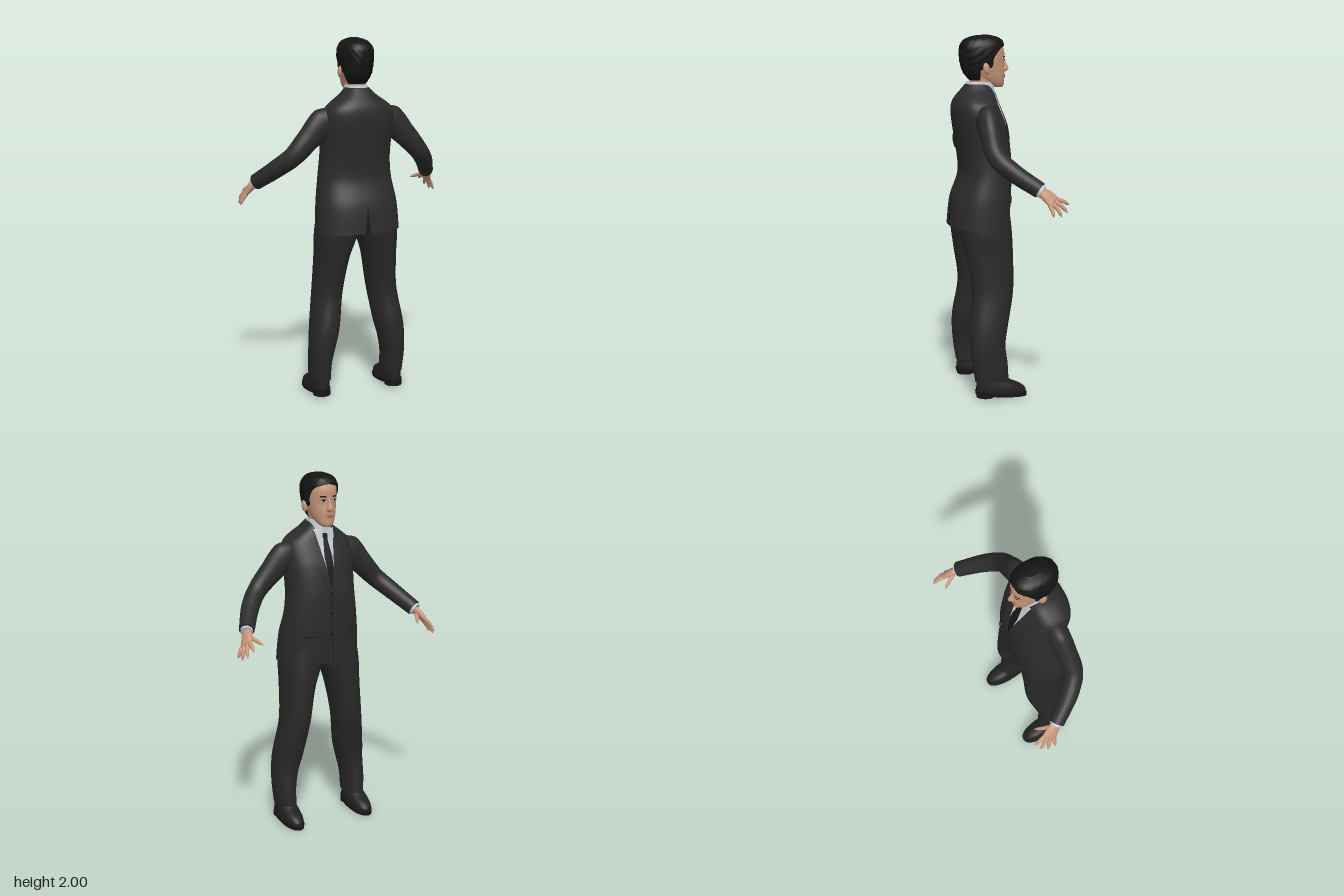
import * as THREE from 'three';

const mat = (name, color) => {
  const m = new THREE.MeshStandardMaterial({ color, side: THREE.DoubleSide });
  m.name = name;
  return m;
};
const V = (p, s = 1) => new THREE.Vector3(p[0] * s, p[1], p[2]);

// Skin a stack of rings; capped ends get their own vertices so edges stay sharp
function skin(rings, closed, capped) {
  const n = rings[0].length, pos = [], idx = [];
  rings.forEach(r => r.forEach(p => pos.push(p.x, p.y, p.z)));
  for (let i = 0; i < rings.length - 1; i++) {
    for (let j = 0; j < (closed ? n : n - 1); j++) {
      const k = (j + 1) % n, a = i * n, b = a + n;
      idx.push(a + j, a + k, b + k, a + j, b + k, b + j);
    }
  }
  if (capped) {
    [rings[0], rings[rings.length - 1]].forEach((r, end) => {
      const c = new THREE.Vector3(), o = pos.length / 3;
      r.forEach(p => { c.add(p); pos.push(p.x, p.y, p.z); });
      c.divideScalar(n);
      pos.push(c.x, c.y, c.z);
      for (let j = 0; j < n; j++) {
        const k = (j + 1) % n;
        if (end) idx.push(o + j, o + k, o + n); else idx.push(o + k, o + j, o + n);
      }
    });
  }
  const g = new THREE.BufferGeometry();
  g.setAttribute('position', new THREE.Float32BufferAttribute(pos, 3));
  g.setIndex(idx);
  g.computeVertexNormals();
  return g;
}

// Smoothly interpolate a row [y, centreX, halfWidth, zFront, zBack, halfAngle] at height y
function rowAt(rows, y) {
  let i = 0;
  while (i < rows.length - 2 && y > rows[i + 1][0]) i++;
  const a = rows[i], b = rows[i + 1], p = rows[Math.max(i - 1, 0)], q = rows[Math.min(i + 2, rows.length - 1)];
  const h = b[0] - a[0], t = (y - a[0]) / h, t2 = t * t, t3 = t2 * t;
  return a.map((v, k) => {
    const ma = (b[k] - p[k]) / (b[0] - p[0]), mb = (q[k] - v) / (q[0] - a[0]);
    return (2 * t3 - 3 * t2 + 1) * v + (t3 - 2 * t2 + t) * h * ma + (3 * t2 - 2 * t3) * b[k] + (t3 - t2) * h * mb;
  });
}

// Vertical loft of superellipse rings
function loft(rows, { e = 2.2, steps = 44, seg = 56, partial = false, s = 1 } = {}) {
  const rings = [], y0 = rows[0][0], y1 = rows[rows.length - 1][0];
  for (let i = 0; i <= steps; i++) {
    const r = rowAt(rows, y0 + (y1 - y0) * i / steps);
    const A = partial ? Math.min(r[5], Math.PI) : Math.PI, ring = [];
    for (let j = 0; j < (partial ? seg + 1 : seg); j++) {
      const th = -A + 2 * A * j / seg, c = Math.cos(th), n = Math.sin(th);
      // tuck the open edge in towards the head
      const k = partial && A < 3.1 && (j === 0 || j === seg) ? 0.88 : 1;
      ring.push(new THREE.Vector3(
        r[1] * s + k * r[2] * Math.sign(n) * Math.abs(n) ** (2 / e), r[0],
        (r[3] + r[4]) / 2 + k * (r[4] - r[3]) / 2 * Math.sign(c) * Math.abs(c) ** (2 / e)));
    }
    rings.push(ring);
  }
  return skin(rings, !partial, true);
}

// Sweep an ellipse along a path; sizes are [along axis, across axis]
function sweep(points, sizes, s = 1, axis = [0, 1, 0], steps = 24, seg = 20) {
  const curve = new THREE.CatmullRomCurve3(points.map(p => V(p, s))), rings = [];
  for (let i = 0; i <= steps; i++) {
    const t = i / steps, f = t * (sizes.length - 1), k = Math.min(Math.floor(f), sizes.length - 2);
    const a = THREE.MathUtils.lerp(sizes[k][0], sizes[k + 1][0], f - k);
    const b = THREE.MathUtils.lerp(sizes[k][1], sizes[k + 1][1], f - k);
    const c = curve.getPoint(t), T = curve.getTangent(t), N = V(axis, s);
    N.addScaledVector(T, -N.dot(T)).normalize();
    const B = T.clone().cross(N);
    rings.push(Array.from({ length: seg }, (_, j) => {
      const th = j / seg * Math.PI * 2;
      return c.clone().addScaledVector(N, a * Math.cos(th)).addScaledVector(B, b * Math.sin(th));
    }));
  }
  return skin(rings, true, true);
}

// Thin patch [y, x0, x1] laid over a loft; side -1 is the face side, +1 the back
function patch(rows, shape, offset, side = -1, e = 2.2) {
  const rings = [], cols = 8;
  for (let i = 0; i < shape.length - 1; i++) {
    for (let u = i ? 1 : 0; u <= 6; u++) {
      const [y, x0, x1] = shape[i].map((v, k) => THREE.MathUtils.lerp(v, shape[i + 1][k], u / 6));
      const r = rowAt(rows, y), ring = [];
      for (let j = 0; j <= cols; j++) {
        const t = side < 0 ? 1 - j / cols : j / cols, lo = Math.min(x0, x1), hi = Math.max(x0, x1);
        const x = lo + (hi - lo) * t, q = Math.max(0, 1 - Math.abs((x - r[1]) / r[2]) ** e) ** (1 / e);
        ring.push(new THREE.Vector3(x, y, (r[3] + r[4]) / 2 + side * ((r[4] - r[3]) / 2 * q + offset)));
      }
      rings.push(ring);
    }
  }
  return skin(rings, false, false);
}
const oval = (cx, cy, rx, ry) => [-1, -0.85, -0.5, 0, 0.5, 0.85, 1].map(t => {
  const w = rx * Math.sqrt(1 - t * t);
  return [cy + t * ry, cx - w, cx + w];
});

const JACKET = [
  [0.95, 0, 0.238, -0.072, 0.255], [1.1, 0, 0.228, -0.082, 0.238], [1.24, 0, 0.208, -0.088, 0.192],
  [1.36, 0, 0.197, -0.085, 0.2], [1.5, 0, 0.2, -0.06, 0.222], [1.58, 0, 0.2, -0.03, 0.23],
  [1.63, 0, 0.185, -0.01, 0.225], [1.665, 0, 0.145, 0, 0.21], [1.7, 0, 0.095, 0.008, 0.185], [1.735, 0, 0.062, 0.02, 0.157]];
const LEG = [
  [0.1, 0.22, 0.055, -0.025, 0.165], [0.2, 0.222, 0.06, -0.018, 0.18], [0.3, 0.211, 0.071, -0.008, 0.19],
  [0.4, 0.195, 0.08, -0.025, 0.19], [0.6, 0.165, 0.08, -0.065, 0.165], [0.8, 0.142, 0.092, -0.07, 0.195],
  [0.93, 0.12, 0.115, -0.068, 0.215], [1.02, 0.112, 0.112, -0.06, 0.215]];
const SHOE = [
  [0.018, 0.222, 0.057, -0.125, 0.16], [0.04, 0.222, 0.058, -0.124, 0.16], [0.065, 0.222, 0.054, -0.095, 0.158],
  [0.09, 0.221, 0.049, -0.03, 0.155], [0.13, 0.22, 0.044, 0.01, 0.15]];
const SOLE = [[0, 0.222, 0.06, -0.13, 0.165], [0.02, 0.222, 0.062, -0.132, 0.166]];
const HEAD = [
  [1.715, 0, 0.022, -0.05, -0.012], [1.728, 0, 0.04, -0.058, 0.03], [1.76, 0, 0.058, -0.06, 0.09],
  [1.8, 0, 0.07, -0.062, 0.14], [1.84, 0, 0.078, -0.058, 0.165], [1.88, 0, 0.082, -0.06, 0.175],
  [1.92, 0, 0.082, -0.058, 0.17], [1.96, 0, 0.068, -0.038, 0.145], [1.985, 0, 0.03, 0, 0.1]];
const HAIR = [
  [1.755, 0, 0.055, 0, 0.135, 1.3], [1.79, 0, 0.075, -0.03, 0.165, 1.35], [1.815, 0, 0.083, -0.05, 0.178, 1.4],
  [1.825, 0, 0.085, -0.055, 0.181, 1.85], [1.87, 0, 0.092, -0.06, 0.19, 1.95], [1.91, 0, 0.094, -0.064, 0.192, 2.15],
  [1.935, 0, 0.092, -0.062, 0.19, 2.5], [1.95, 0, 0.088, -0.058, 0.185, 3.14], [1.975, 0, 0.073, -0.045, 0.165, 3.14],
  [1.99, 0, 0.052, -0.02, 0.135, 3.14], [2, 0, 0.022, 0.02, 0.09, 3.14]];
const NOSE = [
  [1.798, 0, 0.01, -0.066, -0.03], [1.808, 0, 0.017, -0.082, -0.03], [1.818, 0, 0.015, -0.087, -0.03],
  [1.85, 0, 0.009, -0.073, -0.03], [1.878, 0, 0.007, -0.061, -0.03]];
const FINGERS = [
  [[0.54, 1.168, -0.19], [0.546, 1.155, -0.228], [0.548, 1.135, -0.258]],
  [[0.549, 1.16, -0.176], [0.566, 1.133, -0.212], [0.577, 1.1, -0.24]],
  [[0.557, 1.15, -0.163], [0.578, 1.118, -0.187], [0.592, 1.08, -0.203]],
  [[0.565, 1.14, -0.147], [0.583, 1.112, -0.155], [0.596, 1.082, -0.158]],
  [[0.522, 1.19, -0.13], [0.5, 1.172, -0.178], [0.476, 1.155, -0.22]]];

export function createModel() {
  const model = new THREE.Group();
  const suit = mat('suit cloth', 0x2b2b2c), trouser = mat('trouser cloth', 0x282829), black = mat('black trim', 0x171718);
  const leather = mat('shoe leather', 0x202020), hairMat = mat('hair', 0x141414), skinMat = mat('skin', 0xc6967a);
  const shirt = mat('shirt', 0xc4c8d0), lip = mat('lips', 0xa26b5c), white = mat('eye white', 0xd8d4cf);
  const add = (name, geo, m) => {
    const mesh = new THREE.Mesh(geo, m);
    mesh.name = name;
    model.add(mesh);
    return mesh;
  };
  const onJacket = (name, shape, m, off, side = -1) => add(name, patch(JACKET, shape, off, side, 2.4), m);
  const onFace = (name, shape, m, off) => add(name, patch(HEAD, shape, off), m);
  const mirror = (shape, s) => shape.map(([y, a, b]) => [y, a * s, b * s]);

  // Jacket with shirt front, tie, buttons and rear vent
  add('jacket', loft(JACKET, { e: 2.4, steps: 60, seg: 72 }), suit);
  onJacket('shirtFront', [[1.38, 0, 0], [1.55, -0.035, 0.035], [1.69, -0.056, 0.056]], shirt, 0.004);
  onJacket('tie', [[1.38, -0.012, 0.012], [1.55, -0.024, 0.024], [1.645, -0.012, 0.012], [1.675, -0.02, 0.02]], black, 0.008);
  onJacket('frontSeam', [[0.955, -0.022, -0.018], [1.2, -0.002, 0.002], [1.38, -0.002, 0.002]], black, 0.003);
  [1.12, 1.24, 1.35].forEach(y => onJacket('button', oval(0, y, 0.009, 0.009), black, 0.007));
  onJacket('rearVent', [[0.952, -0.016, 0.016], [1.1, -0.001, 0.001]], black, 0.003, 1);

  // Neck and shirt collar
  add('neck', loft([[1.68, 0, 0.054, 0, 0.135], [1.74, 0, 0.052, 0.002, 0.135], [1.8, 0, 0.056, -0.005, 0.14]]), skinMat);
  add('shirtCollar', loft([[1.67, 0, 0.078, -0.006, 0.165], [1.715, 0, 0.066, -0.002, 0.158], [1.747, 0, 0.059, 0.004, 0.149]]), shirt);

  // Head
  add('head', loft(HEAD), skinMat);
  add('nose', loft(NOSE, { steps: 20, seg: 24 }), skinMat);
  const hair = loft(HAIR, { steps: 64, seg: 64, partial: true }), p = hair.attributes.position;
  for (let i = 0; i < p.count; i++) {
    const x = p.getX(i), y = p.getY(i), z = p.getZ(i);
    const k = 1 + 0.014 * Math.sin(x * 140 + y * 60) * Math.sin(z * 120 + y * 90);
    p.setXYZ(i, x * k, y, 0.065 + (z - 0.065) * k);
  }
  hair.computeVertexNormals();
  add('hair', hair, hairMat);
  onFace('upperLip', [[1.775, -0.023, 0.023], [1.783, -0.008, 0.008]], lip, 0.005);
  onFace('lowerLip', [[1.766, -0.01, 0.01], [1.775, -0.023, 0.023]], lip, 0.006);

  for (const s of [1, -1]) {
    // Face details
    onFace('eye', oval(0.033 * s, 1.86, 0.014, 0.006), white, 0.003);
    onFace('iris', oval(0.033 * s, 1.86, 0.006, 0.006), black, 0.005);
    onFace('upperLid', mirror([[1.864, 0.018, 0.048], [1.868, 0.024, 0.042]], s), hairMat, 0.005);
    onFace('eyebrow', mirror([[1.879, 0.015, 0.053], [1.887, 0.022, 0.046]], s), hairMat, 0.004);
    const ear = add('ear', new THREE.SphereGeometry(1, 20, 14), skinMat);
    ear.scale.set(0.013, 0.032, 0.02);
    ear.position.set(0.088 * s, 1.822, 0.062);
    ear.rotation.set(0.2, 0.35 * s, 0);

    // Collar points, lapels and pocket flaps
    onJacket('collarPoint', mirror([[1.625, 0.036, 0.04], [1.66, 0.016, 0.058], [1.7, 0.008, 0.06]], s), shirt, 0.009);
    onJacket('lapel', mirror([[1.36, 0, 0.008], [1.48, 0.02, 0.065], [1.575, 0.038, 0.105], [1.59, 0.04, 0.075], [1.69, 0.058, 0.078]], s), suit, 0.0095);
    onJacket('lapelEdge', mirror([[1.36, 0.006, 0.011], [1.48, 0.06, 0.068], [1.575, 0.1, 0.109]], s), black, 0.006);
    onJacket('pocketFlap', mirror([[1.085, 0.09, 0.17], [1.115, 0.09, 0.17]], s), suit, 0.006);
    onJacket('pocketSeam', mirror([[1.113, 0.088, 0.172], [1.118, 0.088, 0.172]], s), black, 0.008);

    // Sleeve, cuff and hand
    add('sleeve', sweep([[0.13, 1.575, 0.095], [0.2, 1.545, 0.09], [0.28, 1.47, 0.092], [0.37, 1.375, 0.085], [0.44, 1.305, 0.02], [0.52, 1.215, -0.105]],
      [[0.06, 0.055], [0.085, 0.06], [0.066, 0.056], [0.054, 0.052], [0.05, 0.05], [0.044, 0.042]], s, [0, 1, 0], 40, 32), suit);
    add('shirtCuff', sweep([[0.51, 1.225, -0.088], [0.526, 1.207, -0.117]], [[0.035, 0.034], [0.035, 0.034]], s, [0, 1, 0], 2), shirt);
    const across = [0.38, -0.44, 0.81];
    add('palm', sweep([[0.518, 1.215, -0.1], [0.535, 1.188, -0.138], [0.552, 1.157, -0.17], [0.557, 1.15, -0.18]],
      [[0.026, 0.02], [0.036, 0.02], [0.041, 0.016], [0.033, 0.006]], s, across), skinMat);
    FINGERS.forEach((f, i) => add(i < 4 ? 'finger' : 'thumb',
      sweep(f, [[0.012, 0.012], [0.0115, 0.011], [0.0105, 0.01], [0.0095, 0.009], [0.002, 0.002]], s, across, 16, 12), skinMat));

    // Trouser leg and shoe, heel lifted slightly above the toe
    add('trouserLeg', loft(LEG, { s }), trouser);
    [['shoe', SHOE, leather, 20], ['sole', SOLE, black, 2]].forEach(([name, rows, m, steps]) => {
      const g = loft(rows, { s, steps });
      g.applyMatrix4(new THREE.Matrix4().set(1, 0, 0, 0, 0, 1, 0.1, 0.013, 0, 0, 1, 0, 0, 0, 0, 1));
      add(name, g, m);
    });
    const heel = add('heel', new THREE.CylinderGeometry(0.05, 0.05, 0.022, 28), black);
    heel.position.set(0.222 * s, 0.021, 0.108);
  }
  return model;
}
